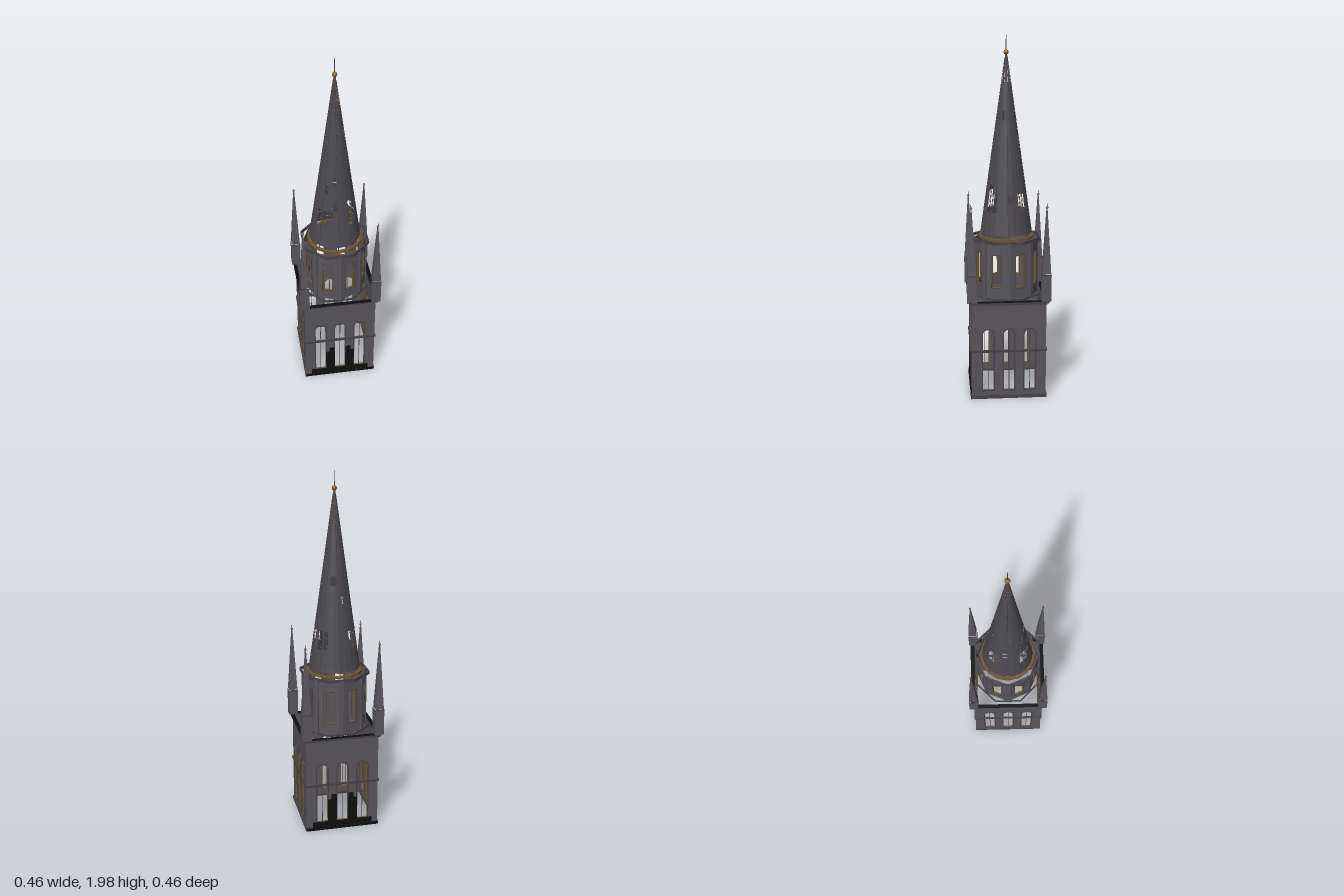
import * as THREE from 'three';

export function createModel() {
  const model = new THREE.Group();
  model.name = 'spireTower';
  const mat = (name, color, double) => {
    const m = new THREE.MeshStandardMaterial({ color, flatShading: true });
    m.name = name;
    if (double) m.side = THREE.DoubleSide;
    return m;
  };
  const stone = mat('stone', 0x58555b);
  const slate = mat('slate', 0x4b494f, true);
  const dark = mat('darkTrim', 0x0e1010);
  const trim = mat('stoneTrim', 0x454348);
  const wood = mat('wood', 0x6b5637);
  const gold = mat('gilding', 0x8a6630);

  const add = (parent, name, geo, material, x = 0, y = 0, z = 0) => {
    const m = new THREE.Mesh(geo, material);
    m.name = name;
    m.position.set(x, y, z);
    parent.add(m);
    return m;
  };
  const box = (w, h, d) => new THREE.BoxGeometry(w, h, d);
  const group = (name, angle = 0) => {
    const g = new THREE.Group();
    g.name = name;
    g.rotation.y = angle;
    model.add(g);
    return g;
  };
  // Square shaft without top and bottom
  const shaft = (half, h) => {
    const r = half * Math.SQRT2;
    return new THREE.CylinderGeometry(r, r, h, 4, 1, true).rotateY(Math.PI / 4);
  };

  // Flat polygonal ring lying at height y
  const polygon = (n, r, rot, path) => {
    for (let i = 0; i < n; i++) {
      const a = rot + (i / n) * Math.PI * 2;
      path[i ? 'lineTo' : 'moveTo'](r * Math.cos(a), r * Math.sin(a));
    }
    path.closePath();
    return path;
  };
  const ring = (name, n, rOut, rIn, rot, y, h, material) => {
    const s = polygon(n, rOut, rot, new THREE.Shape());
    s.holes.push(polygon(n, rIn, rot, new THREE.Path()));
    const g = new THREE.ExtrudeGeometry(s, { depth: h, bevelEnabled: false });
    g.rotateX(-Math.PI / 2);
    return add(model, name, g, material, 0, y, 0);
  };
  const squareRing = (name, half, inner, y, h, material) =>
    ring(name, 4, half * Math.SQRT2, inner * Math.SQRT2, Math.PI / 4, y, h, material);

  // Round-headed opening outline
  const arch = (x, half, y0, spring, path) => {
    path.moveTo(x - half, y0);
    path.lineTo(x + half, y0);
    path.lineTo(x + half, spring);
    path.absarc(x, spring, half, 0, Math.PI, false);
    path.closePath();
    return path;
  };
  const rect = (half, y0, y1, path) => {
    path.moveTo(-half, y0);
    path.lineTo(half, y0);
    path.lineTo(half, y1);
    path.lineTo(-half, y1);
    path.closePath();
    return path;
  };
  const extrude = (s, depth) =>
    new THREE.ExtrudeGeometry(s, { depth, bevelEnabled: false, curveSegments: 8 });
  const archFrame = (x, outer, inner, depth) => {
    const s = arch(x, outer, 0.05 - (outer - 0.03), 0.37, new THREE.Shape());
    s.holes.push(arch(x, inner, 0.05 + (0.03 - inner), 0.37, new THREE.Path()));
    return extrude(s, depth);
  };
  const rectFrame = (outer, inner, y0, y1, depth) => {
    const t = outer - inner;
    const s = rect(outer, y0, y1, new THREE.Shape());
    s.holes.push(rect(inner, y0 + t, y1 - t, new THREE.Path()));
    return extrude(s, depth);
  };

  // Square belfry: four thin walls, each with three lancets
  const lancets = [-0.115, 0, 0.115];
  for (let i = 0; i < 4; i++) {
    const side = group('belfrySide', (i * Math.PI) / 2);
    const s = rect(0.205, 0.01, 0.55, new THREE.Shape());
    for (const x of lancets) s.holes.push(arch(x, 0.031, 0.049, 0.37, new THREE.Path()));
    add(side, 'belfryWall', extrude(s, 0.005), stone, 0, 0, 0.2);
    for (const x of lancets) {
      add(side, 'windowSurround', archFrame(x, 0.036, 0.03, 0.004), trim, 0, 0, 0.204);
      add(side, 'windowLining', archFrame(x, 0.036, 0.0288, 0.01), wood, 0, 0, 0.1965);
      add(side, 'mullion', box(0.003, 0.34, 0.004), trim, x, 0.22, 0.201);
    }
    // Blackened footing on the front and back
    if (i % 2 === 0) {
      add(side, 'footing', box(0.34, 0.032, 0.003), dark, 0, 0.034, 0.2075);
      for (const sx of [-1, 1]) {
        add(side, 'pierStain', box(0.052, 0.135, 0.003), dark, sx * 0.0575, 0.1175, 0.2075);
        add(side, 'pierStainTop', box(0.03, 0.03, 0.003), dark, sx * 0.048, 0.2, 0.2075);
      }
      add(side, 'plinthFace', box(0.41, 0.018, 0.002), dark, 0, 0.009, 0.2105);
    }
  }
  squareRing('plinth', 0.21, 0.2, 0, 0.018, trim);
  squareRing('stringCourse', 0.211, 0.201, 0.27, 0.012, trim);
  squareRing('corniceMoulding', 0.211, 0.2, 0.54, 0.008, trim);
  squareRing('cornice', 0.219, 0.2, 0.547, 0.01, trim);
  squareRing('corniceLeads', 0.221, 0.2, 0.557, 0.003, dark);

  // Corner pinnacles
  for (const sx of [-1, 1]) for (const sz of [-1, 1]) {
    const p = group('pinnacle');
    p.position.set(sx * 0.203, 0, sz * 0.203);
    add(p, 'pinnacleBase', shaft(0.026, 0.15), stone, 0, 0.635, 0);
    add(p, 'pinnacleCap', shaft(0.0275, 0.006), trim, 0, 0.709, 0);
    const spirelet = new THREE.CylinderGeometry(0.004, 0.034, 0.36, 4);
    spirelet.rotateY(Math.PI / 4);
    add(p, 'pinnacleSpire', spirelet, stone, 0, 0.892, 0);
    add(p, 'pinnacleKnob', new THREE.SphereGeometry(0.007, 8, 6), gold, 0, 1.077, 0);
    add(p, 'pinnacleTip', new THREE.CylinderGeometry(0.001, 0.002, 0.02, 6), dark, 0, 1.088, 0);
  }

  // Octagonal lantern: eight thin window walls with piers at the corners
  for (let i = 0; i < 8; i++) {
    const side = group('lanternSide', ((i + 0.5) * Math.PI) / 4);
    const s = rect(0.069, 0.56, 0.875, new THREE.Shape());
    s.holes.push(rect(0.029, 0.62, 0.806, new THREE.Path()));
    add(side, 'lanternWall', extrude(s, 0.004), stone, 0, 0, 0.164);
    add(side, 'lanternWindowFrame', rectFrame(0.032, 0.0285, 0.617, 0.809, 0.003), trim, 0, 0, 0.167);
    add(side, 'lanternWindowLining', rectFrame(0.031, 0.0245, 0.618, 0.808, 0.01), wood, 0, 0, 0.1575);
    const pier = group('lanternPier', (i * Math.PI) / 4);
    add(pier, 'pier', shaft(0.0105, 0.315), stone, 0, 0.7175, 0.1745);
  }
  ring('lanternSill', 8, 0.2, 0.192, Math.PI / 8, 0.555, 0.01, trim);
  ring('lanternCornice', 8, 0.2, 0.192, Math.PI / 8, 0.868, 0.016, trim);
  ring('spireSeat', 16, 0.156, 0.139, 0, 0.88, 0.011, wood);

  // Open-work spire in rows of slates, with lights on the diagonals
  const y0 = 0.88, y1 = 1.88, rows = 20, seg = 24;
  const radius = (y) => 0.004 + (0.142 * (y1 - y)) / (y1 - y0);
  let seed = 7;
  const random = () => (seed = (seed * 16807) % 2147483647) / 2147483647;
  const pos = [];
  const point = (a, y, r) => [r * Math.sin(a), y, r * Math.cos(a)];
  for (let k = 0; k < rows; k++) for (let j = 0; j < seg; j++) {
    const gap = random() < 0.04 && k > 0 && k < 17;
    const light = (k === 3 || k === 4) && (j % 6 === 2 || j % 6 === 3);
    const topGap = (k === 17 || k === 18) && j % 3 === 1;
    if (gap || light || topGap) continue;
    const lo = k ? y0 + k * 0.05 : 0.908, hi = y0 + (k + 1) * 0.05;
    const a = (j / seg) * Math.PI * 2, b = ((j + 1) / seg) * Math.PI * 2;
    const rl = radius(lo) + 0.0005, rh = radius(hi) - 0.0005;
    const A = point(a, lo, rl), B = point(b, lo, rl), C = point(b, hi, rh), D = point(a, hi, rh);
    pos.push(...A, ...B, ...C, ...A, ...C, ...D);
  }
  const slates = new THREE.BufferGeometry();
  slates.setAttribute('position', new THREE.Float32BufferAttribute(pos, 3));
  slates.computeVertexNormals();
  add(model, 'spireSlates', slates, slate);

  // Slim ribs outside the spire, wooden rafters inside
  const strut = (name, a, rLow, rHigh, thick, material) => {
    const path = new THREE.LineCurve3(
      new THREE.Vector3(...point(a, y0, rLow)),
      new THREE.Vector3(...point(a, 1.86, rHigh)));
    add(model, name, new THREE.TubeGeometry(path, 1, thick, 5), material);
  };
  for (let i = 0; i < 8; i++) {
    const a = (i * Math.PI) / 4;
    strut('spireRib', a, 0.147, 0.008, 0.0011, trim);
    strut('spireRafter', a, 0.141, 0.003, 0.002, wood);
  }

  // Finial
  add(model, 'finialCollar', new THREE.CylinderGeometry(0.004, 0.009, 0.04, 8), slate, 0, 1.87, 0);
  add(model, 'finialBall', new THREE.SphereGeometry(0.014, 12, 8), gold, 0, 1.89, 0);
  add(model, 'finialRod', new THREE.CylinderGeometry(0.0015, 0.003, 0.1, 6), trim, 0, 1.93, 0);
  return model;
}
